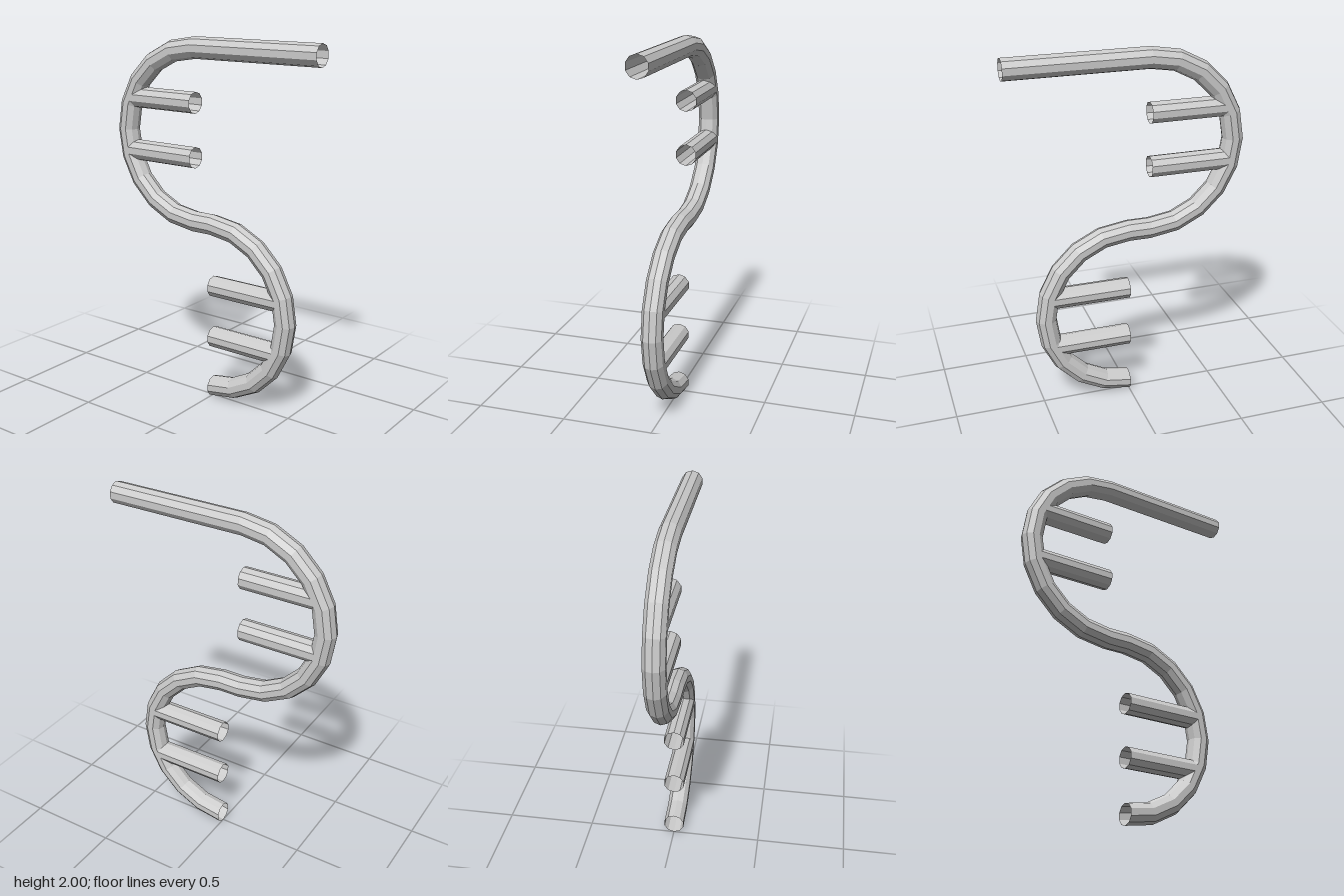
import * as THREE from 'three';

const SIDES = 10;
const TUBE = 0.0585;            // tube radius
const BEND = (2 - 2 * TUBE) / 4; // centreline radius of both bends
const TOP_Z = -0.119;           // centre of the upper bend
const LOW_Y = TUBE + BEND;
const TOP_Y = TUBE + 3 * BEND;

// Open faceted tube swept along stations { y, z, ty, tz } in the x = 0 plane
function sweep(stations) {
  const positions = [], indices = [];
  for (const s of stations) {
    for (let j = 0; j < SIDES; j++) {
      const a = Math.PI / 2 + (j / SIDES) * Math.PI * 2;
      const n = TUBE * Math.sin(a);
      positions.push(TUBE * Math.cos(a), s.y + n * s.tz, s.z - n * s.ty);
    }
  }
  for (let i = 0; i < stations.length - 1; i++) {
    for (let j = 0; j < SIDES; j++) {
      const a = i * SIDES + j, b = i * SIDES + (j + 1) % SIDES;
      indices.push(a, b, b + SIDES, a, b + SIDES, a + SIDES);
    }
  }
  const geometry = new THREE.BufferGeometry();
  geometry.setAttribute('position', new THREE.Float32BufferAttribute(positions, 3));
  geometry.setIndex(indices);
  geometry.computeVertexNormals();
  return geometry;
}

// Half-circle bend running upwards, bulging to +z (side 1) or -z (side -1)
function bend(cy, cz, side) {
  const out = [];
  for (let i = 0; i <= 10; i++) {
    const a = -Math.PI / 2 + (i * Math.PI) / 10;
    out.push({
      y: cy + BEND * Math.sin(a), z: cz + side * BEND * Math.cos(a),
      ty: Math.cos(a), tz: -side * Math.sin(a),
    });
  }
  return out;
}

export function createModel() {
  const group = new THREE.Group();
  const material = new THREE.MeshStandardMaterial({
    color: 0xcccccc, flatShading: true, side: THREE.DoubleSide,
  });
  const add = (name, stations) => {
    const mesh = new THREE.Mesh(sweep(stations), material);
    mesh.name = name;
    group.add(mesh);
  };

  // S-shaped main tube ending in a long straight arm
  add('mainTube', [
    ...bend(LOW_Y, 0, 1),
    ...bend(TOP_Y, TOP_Z, -1),
    { y: 2 - TUBE, z: 0.648, ty: 0, tz: 1 },
  ]);

  // Straight rungs from the bends to their open side
  const rung = (name, y, cy, cz, side) => {
    const reach = Math.sqrt(BEND * BEND - (y - cy) ** 2);
    const ends = [cz, cz + side * reach].sort((a, b) => a - b);
    add(name, ends.map((z) => ({ y, z, ty: 0, tz: 1 })));
  };
  [0.355, 0.652].forEach((y, i) => {
    rung(`lowerRung${i + 1}`, y, LOW_Y, 0, 1);
    rung(`upperRung${i + 1}`, y + 1, TOP_Y, TOP_Z, -1);
  });

  return group;
}
